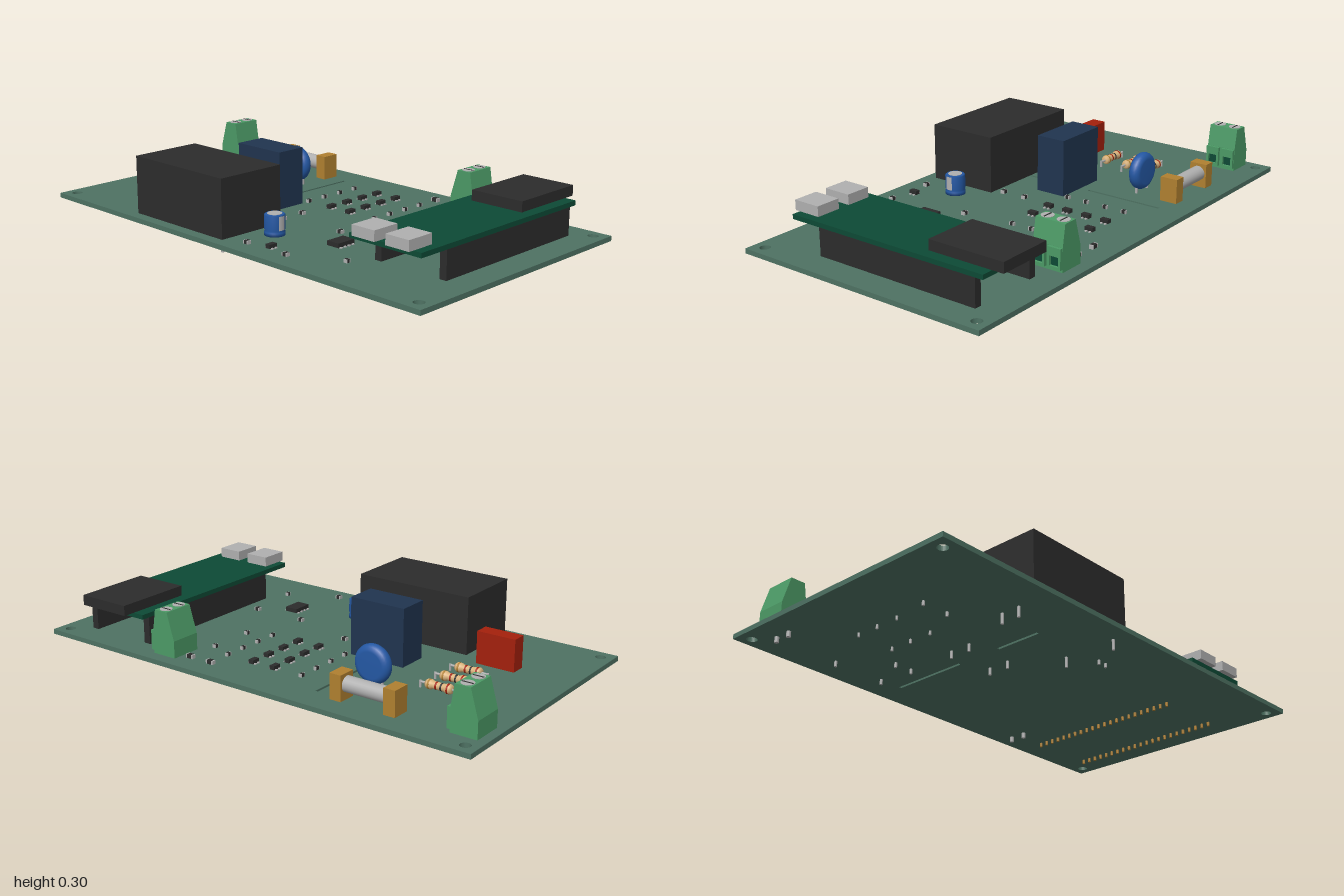
import * as THREE from 'three';

const mat = (name, color) => Object.assign(new THREE.MeshStandardMaterial({ color }), { name });

export function createModel() {
  const M = {
    board: mat('boardGreen', 0x4e7263), dark: mat('darkGreen', 0x0d4a35),
    leaf: mat('terminalGreen', 0x4c9a66), navy: mat('navy', 0x20344f),
    blue: mat('blue', 0x2458a4), red: mat('red', 0xa4200c),
    gold: mat('gold', 0xb08030), tan: mat('tan', 0xd9b27c),
    metal: mat('metal', 0xb0b0b0), black: mat('black', 0x2c2c2c),
  };
  const root = new THREE.Group();
  root.name = 'circuitBoard';
  const TOP = 0.063, BASE = 0.043;

  const group = (name, x = 0, y = 0, z = 0, parent = root) => {
    const g = new THREE.Group();
    g.name = name;
    g.position.set(x, y, z);
    parent.add(g);
    return g;
  };
  const add = (parent, name, geo, m, x = 0, y = 0, z = 0) => {
    const mesh = new THREE.Mesh(geo, m);
    mesh.name = name;
    mesh.position.set(x, y, z);
    parent.add(mesh);
    return mesh;
  };
  // Box given by its limits on each axis
  const box = (parent, name, m, x0, x1, y0, y1, z0, z1) =>
    add(parent, name, new THREE.BoxGeometry(x1 - x0, y1 - y0, z1 - z0), m,
      (x0 + x1) / 2, (y0 + y1) / 2, (z0 + z1) / 2);
  const cyl = (parent, name, m, r, h, x, y, z, n = 24) =>
    add(parent, name, new THREE.CylinderGeometry(r, r, h, n), m, x, y, z);
  // Lead poking out under the board
  const pin = (x, z, y0, m = M.metal, r = 0.006) =>
    cyl(root, 'leadPin', m, r, TOP - y0, x, (TOP + y0) / 2, z, 8);

  // Main board with corner holes and isolation slots
  const shape = new THREE.Shape();
  shape.moveTo(-1, -0.557).lineTo(1, -0.557).lineTo(1, 0.557).lineTo(-1, 0.557).closePath();
  for (const x of [-0.95, 0.95]) for (const z of [-0.508, 0.505])
    shape.holes.push(new THREE.Path().absarc(x, -z, 0.021, 0, Math.PI * 2));
  for (const [z0, z1] of [[-0.435, -0.095], [0.11, 0.31]]) {
    const p = new THREE.Path();
    p.moveTo(-0.282, -z0).lineTo(-0.27, -z0).lineTo(-0.27, -z1).lineTo(-0.282, -z1).closePath();
    shape.holes.push(p);
  }
  const boardGeo = new THREE.ExtrudeGeometry(shape, { depth: TOP - BASE, bevelEnabled: false, curveSegments: 16 });
  boardGeo.rotateX(-Math.PI / 2);
  add(root, 'mainBoard', boardGeo, M.board, 0, BASE, 0);

  // Large block parts
  box(root, 'powerModule', M.black, -0.52, -0.01, TOP, 0.3, 0.21, 0.512);
  box(root, 'relay', M.navy, -0.397, -0.153, TOP, 0.3, -0.053, 0.077);
  box(root, 'filmCapacitor', M.red, -0.76, -0.595, TOP, 0.195, 0.157, 0.22);
  [[-0.48, 0.325], [-0.48, 0.405], [-0.045, 0.25], [-0.045, 0.48]].forEach(([x, z]) => pin(x, z, 0));
  for (const x of [-0.38, -0.17]) for (const z of [-0.033, 0.06]) pin(x, z, 0.012);
  for (const x of [-0.735, -0.62]) pin(x, 0.188, 0.025);

  // Screw terminals, wire openings facing +x
  const terminal = (x, z) => {
    const g = group('screwTerminal', x, TOP, z);
    const s = new THREE.Shape();
    [[-0.063, 0], [0.046, 0], [0.046, 0.095], [0.032, 0.182], [-0.03, 0.182], [-0.063, 0.07]]
      .forEach(([a, b], i) => (i ? s.lineTo(a, b) : s.moveTo(a, b)));
    s.closePath();
    const geo = new THREE.ExtrudeGeometry(s, { depth: 0.13, bevelEnabled: false });
    add(g, 'terminalBody', geo, M.leaf, 0, 0, -0.065);
    for (const dz of [-0.035, 0.035]) {
      // Raised frame around each wire opening
      const f = new THREE.Shape();
      f.moveTo(-0.029, 0.012).lineTo(0.029, 0.012).lineTo(0.029, 0.094).lineTo(-0.029, 0.094).closePath();
      const h = new THREE.Path();
      h.moveTo(-0.019, 0.022).lineTo(0.019, 0.022).lineTo(0.019, 0.06).lineTo(-0.019, 0.06).closePath();
      f.holes.push(h);
      const frame = add(g, 'openingFrame', new THREE.ExtrudeGeometry(f, { depth: 0.013, bevelEnabled: false }),
        M.leaf, 0.046, 0, dz);
      frame.rotation.y = Math.PI / 2;
      box(g, 'wireOpening', M.dark, 0.045, 0.049, 0.022, 0.06, dz - 0.019, dz + 0.019);
      cyl(g, 'screwHead', M.metal, 0.025, 0.006, 0, 0.181, dz);
      box(g, 'screwSlot', M.black, -0.022, 0.022, 0.184, 0.185, dz - 0.003, dz + 0.003);
      pin(x, z + dz, 0.02, M.metal, 0.009);
    }
  };
  terminal(-0.9, -0.388);
  terminal(0.428, -0.44);

  // Fuse in two clips
  const fuse = group('fuse');
  const tube = cyl(fuse, 'fuseTube', M.metal, 0.031, 0.24, -0.498, 0.123, -0.428);
  tube.rotation.z = Math.PI / 2;
  for (const x of [-0.615, -0.382]) {
    box(fuse, 'fuseClip', M.gold, x - 0.025, x + 0.025, TOP, 0.165, -0.466, -0.39);
    pin(x, -0.428, 0.02);
  }

  // Upright varistor disc with a rounded rim
  const prof = [new THREE.Vector2(0, -0.026)];
  for (let i = 0; i <= 8; i++) {
    const a = -Math.PI / 2 + (i / 8) * Math.PI;
    prof.push(new THREE.Vector2(0.052 + 0.026 * Math.cos(a), 0.026 * Math.sin(a)));
  }
  prof.push(new THREE.Vector2(0, 0.026));
  const disc = add(root, 'varistor', new THREE.LatheGeometry(prof, 32), M.blue, -0.41, 0.15, -0.268);
  disc.rotation.x = Math.PI / 2;
  for (const x of [-0.45, -0.37]) cyl(root, 'varistorLead', M.metal, 0.006, 0.085, x, 0.065, -0.268, 8);

  // Axial resistors with bulging ends, bands and bent leads
  const rp = [[0, -0.056], [0.014, -0.056], [0.019, -0.048], [0.019, -0.032], [0.015, -0.024],
    [0.015, 0.024], [0.019, 0.032], [0.019, 0.048], [0.014, 0.056], [0, 0.056]]
    .map(([r, y]) => new THREE.Vector2(r, y));
  for (const z of [-0.173, -0.072, 0.033]) {
    const g = group('resistor', -0.637, 0.085, z);
    const turn = (mesh) => { mesh.rotation.z = Math.PI / 2; };
    turn(add(g, 'resistorBody', new THREE.LatheGeometry(rp, 20), M.tan));
    turn(cyl(g, 'resistorLead', M.metal, 0.005, 0.164, 0, 0, 0, 8));
    for (const [x, r, m] of [[-0.04, 0.0196, M.red], [-0.012, 0.0156, M.black], [0.01, 0.0156, M.red], [0.04, 0.0196, M.gold]])
      turn(cyl(g, 'resistorBand', m, r, 0.007, x, 0, 0, 20));
    for (const x of [-0.082, 0.082]) cyl(g, 'resistorLeg', M.metal, 0.005, 0.064, x, -0.027, 0, 8);
  }

  // Electrolytic capacitor
  const can = group('electrolyticCapacitor', 0.08, TOP, 0.325);
  const cp = [[0, 0], [0.041, 0], [0.041, 0.014], [0.037, 0.019], [0.041, 0.024], [0.041, 0.08],
    [0.036, 0.084], [0, 0.084]].map(([r, y]) => new THREE.Vector2(r, y));
  add(can, 'capacitorSleeve', new THREE.LatheGeometry(cp, 32), M.blue);
  cyl(can, 'capacitorTop', M.metal, 0.029, 0.003, 0, 0.084, 0);
  const stripe = new THREE.CylinderGeometry(0.0418, 0.0418, 0.056, 8, 1, true, Math.PI / 2 - 0.35, 0.7);
  add(can, 'polarityStripe', stripe, M.metal, 0, 0.052, 0);
  for (const dx of [-0.02, 0.02]) pin(0.08 + dx, 0.325, 0.025);

  // Raised controller board on two pin headers
  const ctrl = group('controllerBoard');
  box(ctrl, 'controllerPanel', M.dark, 0.555, 0.883, 0.176, 0.195, -0.48, 0.418);
  box(ctrl, 'ribbonConnector', M.black, 0.604, 0.836, 0.195, 0.237, -0.53, -0.203);
  for (const x of [0.587, 0.742])
    box(ctrl, 'portSocket', M.metal, x, x + 0.105, 0.195, 0.236, 0.322, 0.44);
  for (const x of [0.571, 0.867]) {
    box(ctrl, 'pinHeader', M.black, x - 0.015, x + 0.015, TOP, 0.176, -0.445, 0.283);
    for (let i = 0; i < 22; i++) pin(x, 0.266 - i * 0.0331, 0.025, M.gold);
  }

  // Surface-mount chips: dark body with metal end caps along z or x
  const chip = (x, z, w, d, h = 0.014) => {
    const g = group('smallChip', x, TOP, z);
    const alongX = w > d, e = 0.2;
    const bw = alongX ? w * (1 - 2 * e) : w, bd = alongX ? d : d * (1 - 2 * e);
    box(g, 'chipBody', M.black, -bw / 2, bw / 2, 0, h, -bd / 2, bd / 2);
    for (const s of [-1, 1]) {
      const cx = alongX ? s * w * (0.5 - e / 2) : 0, cz = alongX ? 0 : s * d * (0.5 - e / 2);
      const hw = alongX ? w * e / 2 : w / 2, hd = alongX ? d / 2 : d * e / 2;
      box(g, 'chipCap', M.metal, cx - hw, cx + hw, 0, h * 0.95, cz - hd, cz + hd);
    }
  };
  // Packaged parts: black body with small side legs
  const pack = (x, z, w, d, h, legs) => {
    const g = group('packagedChip', x, TOP, z);
    box(g, 'packageBody', M.black, -w / 2, w / 2, 0.002, h, -d / 2, d / 2);
    for (let i = 0; i < legs; i++) {
      const lz = ((i + 0.5) / legs - 0.5) * d;
      box(g, 'packageLegs', M.metal, -w / 2 - 0.008, w / 2 + 0.008, 0, 0.005, lz - 0.004, lz + 0.004);
    }
  };
  for (const z of [-0.355, -0.265, -0.173, -0.082]) {
    for (const x of [-0.015, 0.089]) pack(x, z, 0.022, 0.036, 0.018, 2);
    for (const x of [-0.145, 0.22]) chip(x, z, 0.013, 0.022);
  }
  pack(0.347, 0.242, 0.058, 0.085, 0.02, 4);
  pack(0.193, 0.45, 0.022, 0.036, 0.018, 2);
  for (const x of [0.218, 0.322]) chip(x, -0.46, 0.034, 0.018, 0.016);
  [[0.322, -0.315], [0.322, -0.122], [0.505, 0.375], [-0.04, 0.06], [-0.04, 0.165],
    [0.245, 0.137], [0.48, 0.137], [0.09, 0.476], [0.297, 0.476]]
    .forEach(([x, z]) => chip(x, z, z > 0.1 && z < 0.15 || z > 0.47 || z === 0.06 || z === 0.165 ? 0.024 : 0.016, 0.018));

  return root;
}
